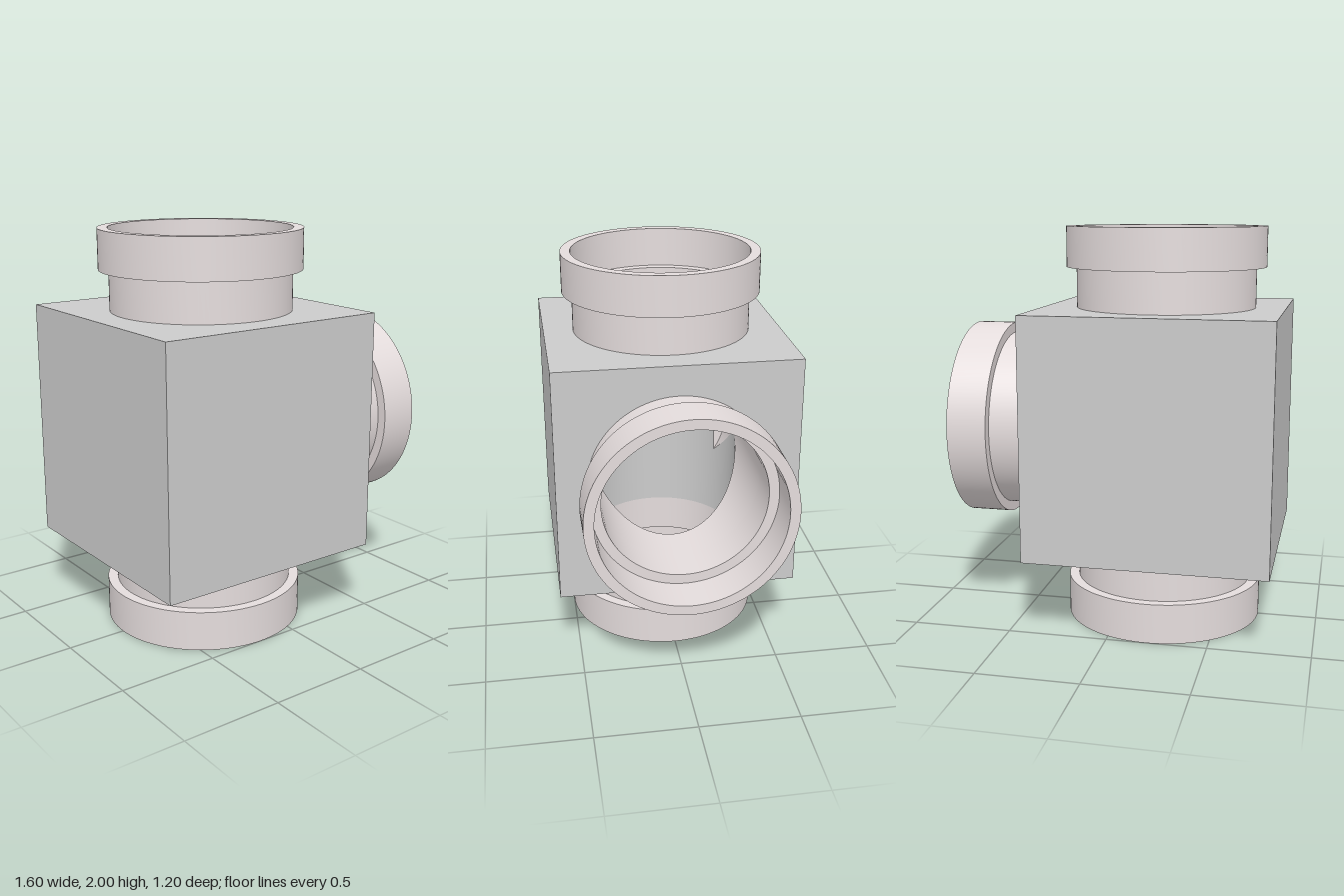
import * as THREE from 'three';
import { toCreasedNormals, mergeGeometries } from 'three/addons/utils/BufferGeometryUtils.js';

const HALF = 0.6, BORE = 0.4, STEP = 3;
const rad = THREE.MathUtils.degToRad;
const DEPTH = BORE * Math.cos(rad(57)); // how far the side bore runs past the axis

// One square face of the block, optionally with a round opening
function plate(hole, rx, ry) {
  const s = new THREE.Shape([[-1, -1], [1, -1], [1, 1], [-1, 1]]
    .map(([x, y]) => new THREE.Vector2(x * HALF, y * HALF)));
  if (hole) s.holes.push(new THREE.Path().absarc(0, 0, BORE, 0, Math.PI * 2, true));
  return new THREE.ShapeGeometry(s, 60).translate(0, 0, HALF).rotateX(rx).rotateY(ry);
}

// Inward-facing cylinder wall about y, between two heights that vary with the angle
function wall(from, to, lo, hi) {
  const pos = [], nor = [], idx = [];
  for (let a = from, i = 0; a <= to; a += STEP, i += 2) {
    const c = Math.cos(rad(a)), s = Math.sin(rad(a)), cut = BORE * Math.abs(c);
    for (const h of [lo(cut), hi(cut)]) {
      pos.push(BORE * c, h, BORE * s);
      nor.push(-c, 0, -s);
    }
    if (a < to) idx.push(i, i + 2, i + 1, i + 1, i + 2, i + 3);
  }
  const g = new THREE.BufferGeometry();
  g.setAttribute('position', new THREE.Float32BufferAttribute(pos, 3));
  g.setAttribute('normal', new THREE.Float32BufferAttribute(nor, 3));
  g.setIndex(idx);
  return g;
}

export function createModel() {
  const model = new THREE.Group();
  model.name = 'pipeTee';
  model.position.set(-0.2, 1, 0);
  const grey = new THREE.MeshStandardMaterial({ color: 0xcccccc, side: THREE.DoubleSide });
  const pale = new THREE.MeshStandardMaterial({ color: 0xe4dcdc, side: THREE.DoubleSide });
  const add = (name, geometry, material) => {
    const m = new THREE.Mesh(geometry, material);
    m.name = name;
    model.add(m);
    return m;
  };

  // Block: open at top, bottom and on +x
  const q = Math.PI / 2;
  add('block', mergeGeometries([
    plate(false, 0, 0), plate(false, 0, Math.PI), plate(false, 0, -q),
    plate(true, 0, q), plate(true, -q, 0), plate(true, q, 0),
  ]), grey);

  // Vertical bore, interrupted where the side bore crosses it
  const bottom = () => -HALF, top = () => HALF;
  add('verticalBore', mergeGeometries([
    wall(-123, 123, bottom, (c) => -c),
    wall(-123, 123, (c) => c, top),
    wall(123, 237, bottom, top),
  ]), grey);

  // Side bore, with short pockets beyond the vertical bore
  const floor = () => -DEPTH;
  add('sideBore', mergeGeometries([
    wall(0, 360, (c) => c, top),
    wall(57, 123, floor, (c) => -c),
    wall(237, 303, floor, (c) => -c),
  ]), pale).rotation.z = -q;

  // Flat ends of the two pockets
  for (const mid of [0, 180]) {
    const s = new THREE.Shape().absarc(0, 0, BORE, rad(mid - 33), rad(mid + 33), false);
    add('pocketFloor', new THREE.ShapeGeometry(s, 22).rotateY(q).translate(-DEPTH, 0, 0), pale);
  }

  // Sockets: neck, wider collar and an inner shoulder
  const profile = [[0.45, 0.6], [0.45, 0.8], [0.5, 0.8], [0.5, 1], [0.45, 1], [0.45, 0.8], [0.4, 0.8], [0.4, 0.6]]
    .map(([r, h]) => new THREE.Vector2(r, h));
  const socket = toCreasedNormals(new THREE.LatheGeometry(profile, 120), 0.6);
  add('topSocket', socket, pale);
  add('bottomSocket', socket, pale).rotation.x = Math.PI;
  add('sideSocket', socket, pale).rotation.z = -q;

  const root = new THREE.Group();
  root.name = 'pipeJunction';
  root.add(model);
  return root;
}
